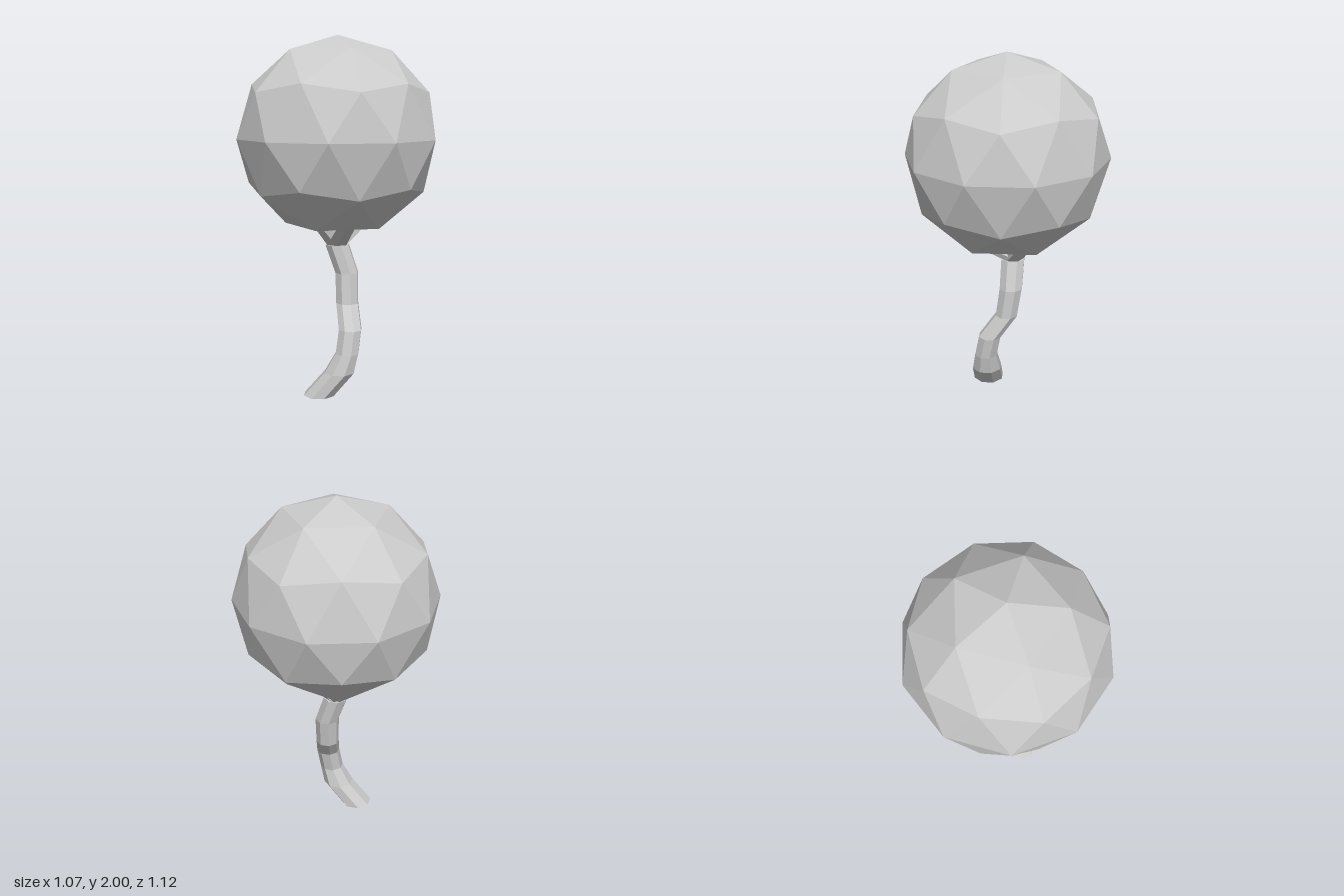
import * as THREE from 'three';

const material = new THREE.MeshStandardMaterial({ color: 0xcccccc, flatShading: true, side: THREE.DoubleSide });

// Faceted limb through level rings, each given as [x, y, z, radius]; both ends capped
function limb(name, rings, sides) {
  const pos = [];
  const idx = [];
  for (const [x, y, z, r] of rings) {
    for (let i = 0; i < sides; i++) {
      const a = ((i + 0.5) / sides) * Math.PI * 2;
      pos.push(x + r * Math.cos(a), y, z + r * Math.sin(a));
    }
  }
  for (let k = 0; k < rings.length - 1; k++) {
    for (let i = 0; i < sides; i++) {
      const j = (i + 1) % sides;
      const low = k * sides;
      const up = low + sides;
      idx.push(low + i, up + i, low + j, up + i, up + j, low + j);
    }
  }
  const top = (rings.length - 1) * sides;
  for (let i = 1; i < sides - 1; i++) {
    idx.push(0, i, i + 1, top, top + i + 1, top + i);
  }
  const indexed = new THREE.BufferGeometry();
  indexed.setAttribute('position', new THREE.Float32BufferAttribute(pos, 3));
  indexed.setIndex(idx);
  const geometry = indexed.toNonIndexed();
  geometry.computeVertexNormals();
  const mesh = new THREE.Mesh(geometry, material);
  mesh.name = name;
  return mesh;
}

// Icosphere standing on a corner, with the five faces around its lowest corner left open
function crown(radius, y) {
  const ball = new THREE.IcosahedronGeometry(radius, 1);
  ball.rotateZ(Math.atan(2 / (1 + Math.sqrt(5))));
  ball.rotateY(Math.PI);
  const p = ball.attributes.position;
  const kept = [];
  for (let i = 0; i < p.count; i += 3) {
    const lowest = Math.min(p.getY(i), p.getY(i + 1), p.getY(i + 2));
    if (lowest < -0.97 * radius) continue;
    for (let k = i; k < i + 3; k++) kept.push(p.getX(k), p.getY(k), p.getZ(k));
  }
  const geometry = new THREE.BufferGeometry();
  geometry.setAttribute('position', new THREE.Float32BufferAttribute(kept, 3));
  geometry.computeVertexNormals();
  const mesh = new THREE.Mesh(geometry, material);
  mesh.name = 'crown';
  mesh.position.y = y;
  return mesh;
}

export function createModel() {
  const tree = new THREE.Group();
  tree.name = 'tree';
  tree.add(crown(0.562, 1.438));

  // Winding trunk
  tree.add(limb('trunk', [
    [-0.095, 0, 0.12, 0.09],
    [0.02, 0.135, 0.12, 0.088],
    [0.063, 0.245, 0.12, 0.068],
    [0.078, 0.375, 0.095, 0.067],
    [0.055, 0.505, 0, 0.066],
    [0.05, 0.675, -0.025, 0.068],
    [-0.005, 0.835, -0.033, 0.07],
  ], 8));

  // Boughs fanning out from the trunk top into the crown: [middle], [tip]
  const boughs = [
    ['frontBough', [0.06, 0.96, 0.17, 0.055], [0.1, 1.1, 0.3, 0.03]],
    ['leftBough', [0.13, 0.96, -0.1, 0.05], [0.22, 1.1, -0.16, 0.03]],
    ['rightBough', [-0.09, 0.96, 0.05, 0.05], [-0.2, 1.1, 0.1, 0.03]],
    ['backBough', [-0.05, 0.96, -0.15, 0.045], [-0.09, 1.1, -0.2, 0.03]],
  ];
  for (const [name, middle, tip] of boughs) {
    tree.add(limb(name, [[-0.005, 0.835, -0.033, 0.062], middle, tip], 6));
  }
  return tree;
}
